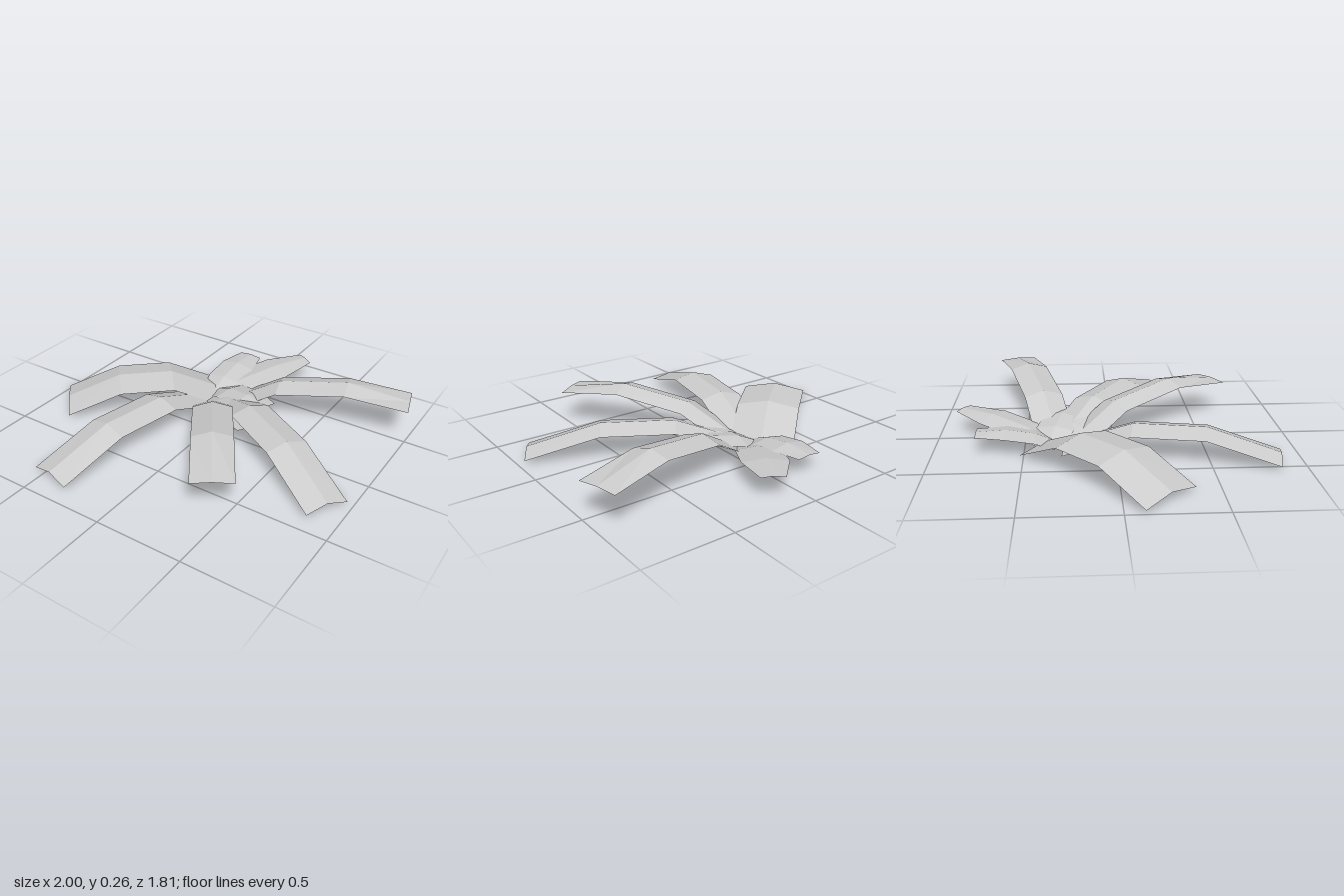
import * as THREE from 'three';

// Leaf profiles, base to tip: [fraction of length, ridge height, share of half width, edge drop]
const drooping = [[0, 0.045, 1, 0.035], [0.32, 0.175, 1, 0.035], [0.66, 0.175, 1, 0.035], [1, 0.052, 1, 0.032]];
const raised = [[0, 0.035, 1, 0.035], [0.28, 0.205, 1, 0.035], [0.66, 0.265, 1, 0.032], [1, 0.207, 1, 0.008]];
const mediumYoung = [[0, 0.04, 0.8, 0.02], [0.28, 0.09, 1, 0.02], [0.65, 0.125, 1, 0.02], [1, 0.13, 0.5, 0.007]];
const smallYoung = [[0, 0.045, 0.8, 0.02], [0.25, 0.09, 1, 0.02], [0.62, 0.115, 1, 0.02], [1, 0.105, 0.66, 0.008]];

// name, profile, base [x, z], tip [x, z], half width
const leaves = [
  ['rightFrontLeaf', drooping, [-0.18, -0.385], [-0.88, 0.235], 0.18],
  ['frontLeaf', drooping, [-0.2, -0.27], [-0.43, 0.88], 0.127],
  ['leftFrontLeaf', drooping, [-0.12, -0.3], [0.907, 0.305], 0.122],
  ['tallFrontLeaf', raised, [-0.13, -0.23], [0.445, 0.648], 0.114],
  ['tallLeftLeaf', raised, [-0.05, -0.325], [0.97, -0.6], 0.114],
  ['backLeaf', mediumYoung, [-0.15, -0.35], [0.165, -0.875], 0.125],
  ['lowerFrontLeaf', mediumYoung, [-0.14, -0.34], [0.285, 0.04], 0.125],
  ['smallBackLeaf', smallYoung, [-0.18, -0.33], [-0.18, -0.765], 0.11],
  ['smallLeftLeaf', smallYoung, [-0.17, -0.36], [0.235, -0.245], 0.11],
];

// A strip folded along its ridge, three points per cross-section
function leafGeometry(profile, base, tip, halfWidth) {
  const start = new THREE.Vector2(...base);
  const along = new THREE.Vector2(...tip).sub(start);
  const dir = along.clone().normalize();
  const points = [], faces = [];
  profile.forEach(([t, y, w, drop], i) => {
    const x = start.x + along.x * t, z = start.y + along.y * t;
    for (const side of [-1, 0, 1]) {
      const offset = side * w * halfWidth;
      points.push(x - dir.y * offset, y - Math.abs(side) * drop, z + dir.x * offset);
    }
    if (i === 0) return;
    for (const k of [0, 1]) {
      const a = (i - 1) * 3 + k, b = a + 1, c = a + 3, d = a + 4;
      faces.push(a, b, c, b, d, c);
    }
  });
  const indexed = new THREE.BufferGeometry();
  indexed.setAttribute('position', new THREE.Float32BufferAttribute(points, 3));
  indexed.setIndex(faces);
  const geometry = indexed.toNonIndexed();
  geometry.computeVertexNormals();
  return geometry;
}

export function createModel() {
  const group = new THREE.Group();
  group.name = 'leafyPlant';
  const material = new THREE.MeshStandardMaterial({ color: 0xcccccc, side: THREE.DoubleSide, flatShading: true });
  material.name = 'leafGrey';
  for (const [name, ...shape] of leaves) {
    const mesh = new THREE.Mesh(leafGeometry(...shape), material);
    mesh.name = name;
    group.add(mesh);
  }
  return group;
}
